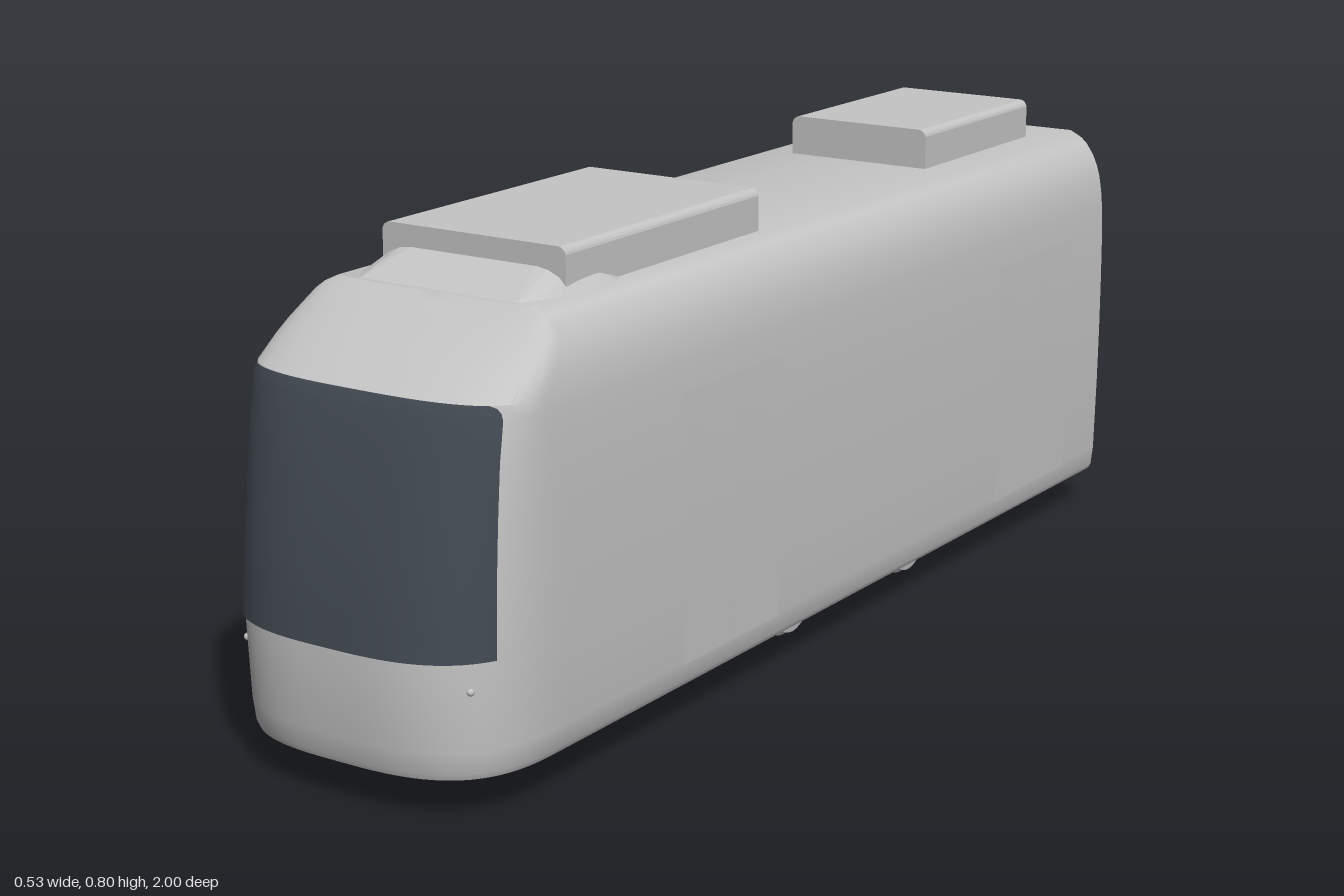
import * as THREE from 'three';
import { toCreasedNormals } from 'three/addons/utils/BufferGeometryUtils.js';
import { ConvexGeometry } from 'three/addons/geometries/ConvexGeometry.js';

// Body layers: height, half width, front z, depth of the rounded nose
const LAYERS = [
  [0.065, 0.247, 0.983, 0.22], [0.075, 0.253, 0.987, 0.23], [0.11, 0.257, 0.992, 0.24],
  [0.25, 0.26, 1.0, 0.25], [0.35, 0.261, 0.988, 0.24], [0.45, 0.261, 0.968, 0.21],
  [0.54, 0.26, 0.945, 0.17], [0.6, 0.257, 0.926, 0.14], [0.62, 0.255, 0.918, 0.13],
  [0.65, 0.25, 0.875, 0.11], [0.67, 0.244, 0.842, 0.09], [0.69, 0.235, 0.808, 0.07],
  [0.71, 0.221, 0.775, 0.04], [0.72, 0.21, 0.757, 0.025], [0.73, 0.19, 0.738, 0.01],
];

function layerAt(y) {
  let i = 0;
  while (i < LAYERS.length - 2 && LAYERS[i + 1][0] < y) i++;
  const a = LAYERS[i], b = LAYERS[i + 1], t = (y - a[0]) / (b[0] - a[0]);
  return a.map((v, k) => v + (b[k] - v) * t);
}

// Nose curve of one layer, from angle a0 on the right side round to the left side
function nose([y, w, f, d], a0 = 0, steps = 48) {
  return Array.from({ length: steps + 1 }, (_, i) => {
    const a = Math.PI - a0 - (Math.PI - 2 * a0) * i / steps;
    const c = Math.cos(a), s = Math.max(0, Math.sin(a));
    return [Math.sign(c) * w * Math.abs(c) ** (2 / 3), y, f - d + d * s ** (2 / 3)];
  });
}

// Skin rows of points; faces look towards (along row) x (row to row)
function skin(rows, closed, crease = 0.5) {
  const n = rows[0].length, index = [];
  for (let j = 0; j < rows.length - 1; j++) {
    for (let i = 0; i < (closed ? n : n - 1); i++) {
      const a = j * n + i, b = j * n + (i + 1) % n;
      index.push(a, b, a + n, b, b + n, a + n);
    }
  }
  const geo = new THREE.BufferGeometry();
  geo.setAttribute('position', new THREE.Float32BufferAttribute(rows.flat(2), 3));
  geo.setIndex(index);
  return toCreasedNormals(geo, crease);
}

function bodyGeometry() {
  const rows = LAYERS.map((l) => {
    const [y, w] = l;
    return [[-w + 0.01, y, -1], [-w, y, -0.988], ...nose(l), [w, y, -0.988], [w - 0.01, y, -1]];
  });
  // flat floor and roof close onto the centre line
  const centre = (row) => row.map(([, y, z]) => [0, y, z]);
  return skin([centre(rows[0]), ...rows, centre(rows.at(-1))], true);
}

function windscreenGeometry() {
  const rows = [];
  for (const y of [0.25, 0.3, 0.35, 0.4, 0.45, 0.5, 0.54, 0.57, 0.6, 0.61, 0.617, 0.621]) {
    const [, w, f, d] = layerAt(y);
    const t = Math.max(0, (y - 0.597) / 0.024);
    const edge = 0.24 - 0.004 * (y - 0.25) / 0.35 - 0.018 * (1 - Math.sqrt(Math.max(0, 1 - t * t)));
    rows.push(nose([y, w + 0.003, f + 0.004, d], Math.acos((edge / (w + 0.003)) ** 1.5)));
  }
  return skin(rows, false);
}

// Thin door leaf following the side wall
function doorGeometry(side, z0, z1) {
  const zs = side > 0 ? [z1, z0] : [z0, z1];
  const rows = [0.105, 0.18, 0.25, 0.35, 0.45, 0.55].map((y) =>
    zs.map((z) => [side * (layerAt(y)[1] + 0.002), y, z]));
  return skin(rows, false);
}

// Roof box with chamfered upper edges, running along z
function roofBoxGeometry(w, z0, z1) {
  const s = new THREE.Shape();
  s.moveTo(-w, 0.725);
  s.lineTo(w, 0.725);
  s.lineTo(w, 0.788);
  s.quadraticCurveTo(w - 0.002, 0.797, w - 0.012, 0.8);
  s.lineTo(-w + 0.012, 0.8);
  s.quadraticCurveTo(-w + 0.002, 0.797, -w, 0.788);
  const geo = new THREE.ExtrudeGeometry(s, { depth: z1 - z0, bevelEnabled: false, curveSegments: 4 });
  return geo.translate(0, 0, z0);
}

export function createModel() {
  const bodyGrey = new THREE.MeshStandardMaterial({ color: 0xc4c4c4 });
  bodyGrey.name = 'bodyGrey';
  const glassDark = new THREE.MeshStandardMaterial({ color: 0x434a53, side: THREE.DoubleSide });
  glassDark.name = 'glassDark';

  const model = new THREE.Group();
  model.name = 'railCar';
  const add = (name, geo, mat = bodyGrey) => {
    const mesh = new THREE.Mesh(geo, mat);
    mesh.name = name;
    model.add(mesh);
    return mesh;
  };

  add('body', bodyGeometry());
  add('windscreen', windscreenGeometry(), glassDark);

  // Roof equipment
  add('frontRoofBox', roofBoxGeometry(0.174, 0.11, 0.64));
  add('rearRoofBox', roofBoxGeometry(0.14, -0.89, -0.5));
  const half = [
    [0.185, 0.72, 0.49], [0.198, 0.72, 0.51], [0.2, 0.72, 0.57], [0.188, 0.72, 0.67],
    [0.175, 0.72, 0.72], [0.15, 0.725, 0.74], [0.165, 0.755, 0.57], [0.16, 0.757, 0.63],
    [0.145, 0.765, 0.57], [0.14, 0.765, 0.632], [0.12, 0.765, 0.64],
  ];
  const points = [1, -1].flatMap((s) => half.map(([x, y, z]) => new THREE.Vector3(s * x, y, z)));
  add('roofFairing', new ConvexGeometry(points));

  // Wheel with a flange on the inner side, and its axle
  const wheelProfile = [
    [0, -0.015], [0.045, -0.015], [0.058, -0.013], [0.067, -0.008], [0.068, -0.004],
    [0.062, 0], [0.06, 0.013], [0.05, 0.015], [0, 0.013],
  ].map(([r, h]) => new THREE.Vector2(r, h));
  const wheel = toCreasedNormals(new THREE.LatheGeometry(wheelProfile, 32), 0.6);
  const axle = new THREE.CylinderGeometry(0.008, 0.008, 0.31, 12);
  for (const z of [0, -0.4]) {
    const bar = add('axle', axle);
    bar.position.set(0, 0.066, z);
    bar.rotation.z = Math.PI / 2;
    for (const side of [1, -1]) {
      const disc = add(side > 0 ? 'leftWheel' : 'rightWheel', wheel);
      disc.position.set(side * 0.164, 0.068, z);
      disc.rotation.z = -side * Math.PI / 2;
    }
  }

  // Double-leaf doors and small front lamps on both sides
  for (const side of [1, -1]) {
    const label = side > 0 ? 'left' : 'right';
    for (const [part, z] of [['FrontDoor', 0.315], ['RearDoor', -0.712]]) {
      add(label + part + 'FrontLeaf', doorGeometry(side, z + 0.001, z + 0.14));
      add(label + part + 'RearLeaf', doorGeometry(side, z - 0.14, z - 0.001));
    }
    const lamp = add(label + 'Lamp', new THREE.SphereGeometry(0.006, 12, 8));
    lamp.position.set(side * 0.213, 0.205, 0.938);
  }
  return model;
}
